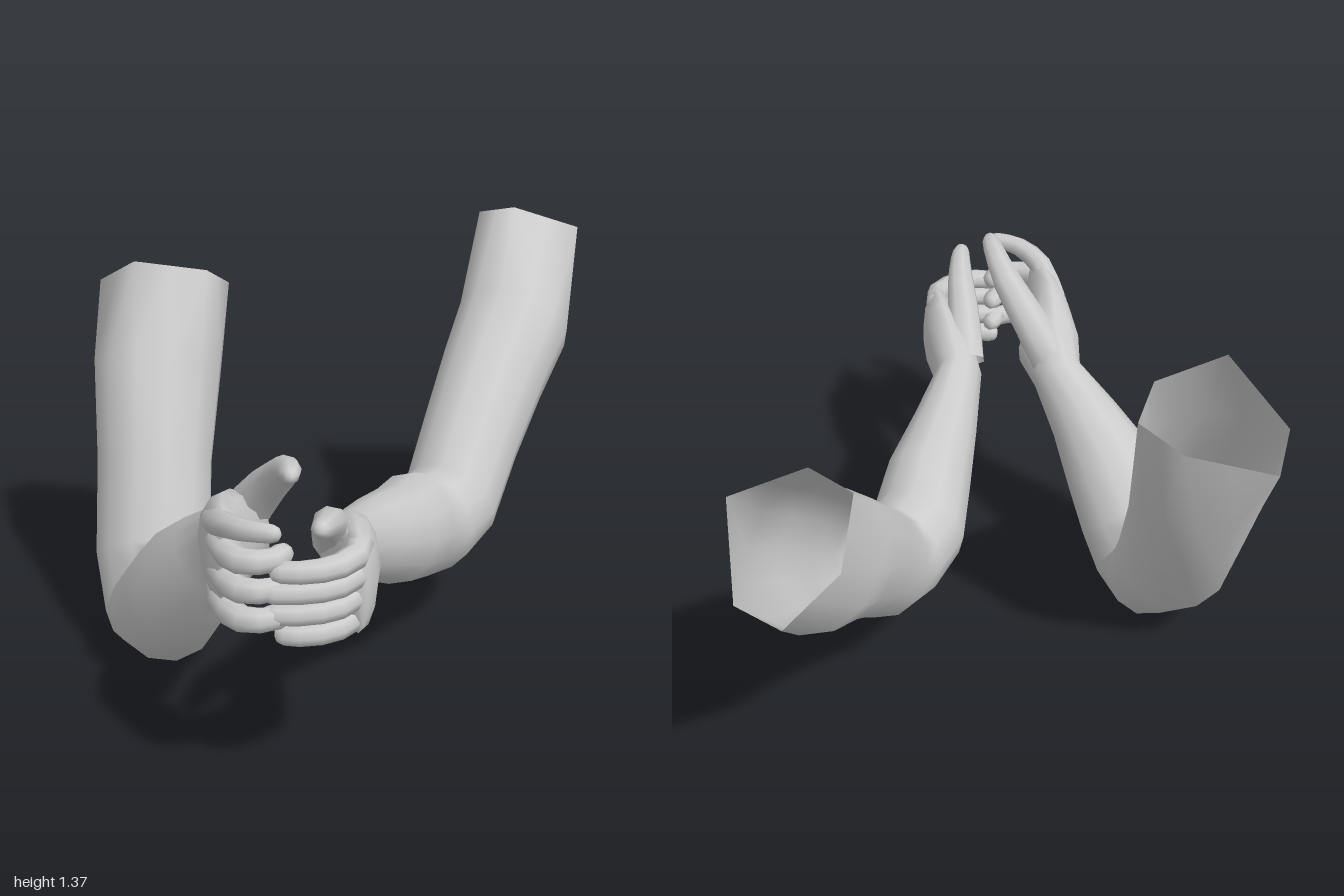
import * as THREE from 'three';

const skin = new THREE.MeshStandardMaterial({ color: 0xcccccc, side: THREE.DoubleSide });
skin.name = 'light grey';

// Smooth skin over cross-sections [x, y, z, radius along side, radius across].
// A rim of corner points replaces the first ring and leaves that end open.
function loft(name, sections, side, sides, rim) {
  const centres = sections.map(s => new THREE.Vector3(s[0], s[1], s[2]));
  const pos = [], index = [], last = sections.length - 1;
  const hinge = new THREE.Vector3(...side);
  sections.forEach((s, i) => {
    const dir = new THREE.Vector3();
    if (i > 0) dir.add(centres[i].clone().sub(centres[i - 1]).normalize());
    if (i < last) dir.add(centres[i + 1].clone().sub(centres[i]).normalize());
    dir.normalize();
    const u = hinge.clone().addScaledVector(dir, -dir.dot(hinge)).normalize();
    const v = dir.clone().cross(u);
    for (let j = 0; j < sides; j++) {
      const t = j / sides * Math.PI * 2;
      const p = centres[i].clone()
        .addScaledVector(u, Math.cos(t) * s[3])
        .addScaledVector(v, Math.sin(t) * (s[4] ?? s[3]));
      if (rim && i === 0) {
        // corners alternate with the midpoints of the rim's edges
        const b = new THREE.Vector3(...rim[Math.floor(j / 2)]);
        const a = new THREE.Vector3(...rim[(Math.floor(j / 2) + rim.length - 1) % rim.length]);
        p.copy(j % 2 ? b : a.lerp(b, 0.5));
      }
      pos.push(p.x, p.y, p.z);
      if (i < last) {
        const a = i * sides + j, b = i * sides + (j + 1) % sides;
        index.push(a, b, a + sides, b, b + sides, a + sides);
      }
    }
  });
  // end cap
  const c = pos.length / 3;
  pos.push(...centres[last].toArray());
  for (let j = 0; j < sides; j++) index.push(last * sides + j, last * sides + (j + 1) % sides, c);
  const geo = new THREE.BufferGeometry();
  geo.setAttribute('position', new THREE.Float32BufferAttribute(pos, 3));
  geo.setIndex(index);
  geo.computeVertexNormals();
  const mesh = new THREE.Mesh(geo, skin);
  mesh.name = name;
  return mesh;
}

// Finger: tapering tube through the joints with a rounded tip, rooted in the palm
function finger(name, joints, r0, r1, side) {
  const curve = new THREE.CatmullRomCurve3(joints.map(p => new THREE.Vector3(...p)));
  const sections = [0, 0.17, 0.34, 0.5, 0.65, 0.8, 0.92, 0.98, 1].map(t => {
    const p = curve.getPoint(t);
    const tip = t > 0.99 ? 0.4 : t > 0.95 ? 0.75 : 1;
    return [p.x, p.y, p.z, (r0 + (r1 - r0) * t) * tip];
  });
  return loft(name, sections, side, 8);
}

export function createModel() {
  const model = new THREE.Group();
  model.name = 'arms';

  // Left arm: open shoulder end, elbow, wrist, palm
  const left = new THREE.Group();
  left.name = 'leftArm';
  left.add(loft('leftArmAndPalm', [
    [0.81, 1.19, -0.78, 0.21, 0.24],
    [0.67, 0.95, -0.575, 0.21, 0.235],
    [0.53, 0.815, -0.43, 0.195, 0.215],
    [0.38, 0.645, -0.27, 0.18, 0.2],
    [0.25, 0.48, -0.13, 0.175, 0.19],
    [0.15, 0.44, -0.055, 0.17, 0.185],
    [0.04, 0.47, 0.02, 0.17, 0.19],
    [-0.08, 0.53, 0.19, 0.155, 0.17],
    [-0.22, 0.61, 0.35, 0.12, 0.14],
    [-0.37, 0.69, 0.54, 0.085, 0.11],
    [-0.39, 0.71, 0.64, 0.09, 0.145],
    [-0.405, 0.72, 0.75, 0.075, 0.165],
    [-0.43, 0.72, 0.85, 0.055, 0.165],
    [-0.455, 0.72, 0.91, 0.03, 0.14],
  ], [0.76, 0, 0.65], 12, [
    [0.94, 1.29, -0.61], [0.71, 1.37, -0.68], [0.62, 1.33, -0.8],
    [0.7, 1.12, -0.88], [0.9, 1.0, -0.91], [1.0, 1.04, -0.79],
  ]));
  [[0.83, -0.72], [0.76, -0.75], [0.685, -0.74], [0.61, -0.7]].forEach(([y, tip], i) => {
    const back = i * 0.01;
    left.add(finger('leftFinger' + (i + 1), [
      [-0.42, y, 0.74], [-0.43, y + 0.005, 0.87 - back], [-0.52, y, 0.94 - back],
      [-0.62, y, 0.95 - back], [tip, y - 0.005, 0.9 - back],
    ], 0.044, 0.035, [0, 1, 0]));
  });
  left.add(finger('leftThumb', [
    [-0.41, 0.73, 0.57], [-0.46, 0.83, 0.68], [-0.505, 0.905, 0.8],
    [-0.55, 0.945, 0.9], [-0.59, 0.97, 0.97],
  ], 0.075, 0.028, [1, 0, 0]));

  // Right arm
  const right = new THREE.Group();
  right.name = 'rightArm';
  right.add(loft('rightArmAndPalm', [
    [-0.61, 1.21, -0.78, 0.22, 0.23],
    [-0.675, 0.93, -0.655, 0.23, 0.225],
    [-0.74, 0.62, -0.5, 0.205, 0.215],
    [-0.79, 0.34, -0.36, 0.205, 0.205],
    [-0.805, 0.197, -0.23, 0.195, 0.2],
    [-0.80, 0.225, -0.145, 0.195, 0.195],
    [-0.79, 0.315, -0.05, 0.19, 0.19],
    [-0.77, 0.45, 0.08, 0.17, 0.175],
    [-0.73, 0.59, 0.22, 0.125, 0.14],
    [-0.69, 0.71, 0.36, 0.09, 0.105],
    [-0.71, 0.76, 0.47, 0.115, 0.14],
    [-0.775, 0.785, 0.6, 0.08, 0.17],
    [-0.805, 0.79, 0.71, 0.06, 0.175],
    [-0.815, 0.79, 0.79, 0.035, 0.155],
  ], [1, 0, 0], 12, [
    [-0.4, 1.2, -0.67], [-0.5, 1.28, -0.59], [-0.75, 1.33, -0.62],
    [-0.82, 1.19, -0.89], [-0.72, 1.11, -1.0], [-0.48, 1.15, -0.83],
  ]));
  right.add(finger('rightIndexFinger', [
    [-0.80, 0.87, 0.6], [-0.825, 0.935, 0.76], [-0.79, 0.965, 0.89], [-0.71, 0.975, 0.975],
  ], 0.048, 0.028, [0, 1, 0]));
  [0.86, 0.765, 0.67].forEach((y, i) => {
    right.add(finger('rightFinger' + (i + 2), [
      [-0.795, y, 0.62], [-0.825, y, 0.77], [-0.8, y, 0.87],
      [-0.72, y, 0.9], [-0.65, y, 0.85],
    ], 0.048, 0.035, [0, 1, 0]));
  });
  right.add(finger('rightThumb', [
    [-0.68, 0.76, 0.4], [-0.63, 0.9, 0.5], [-0.6, 1.0, 0.61],
    [-0.605, 1.06, 0.72], [-0.63, 1.08, 0.82],
  ], 0.08, 0.028, [1, 0, 0]));

  model.add(left, right);
  return model;
}
